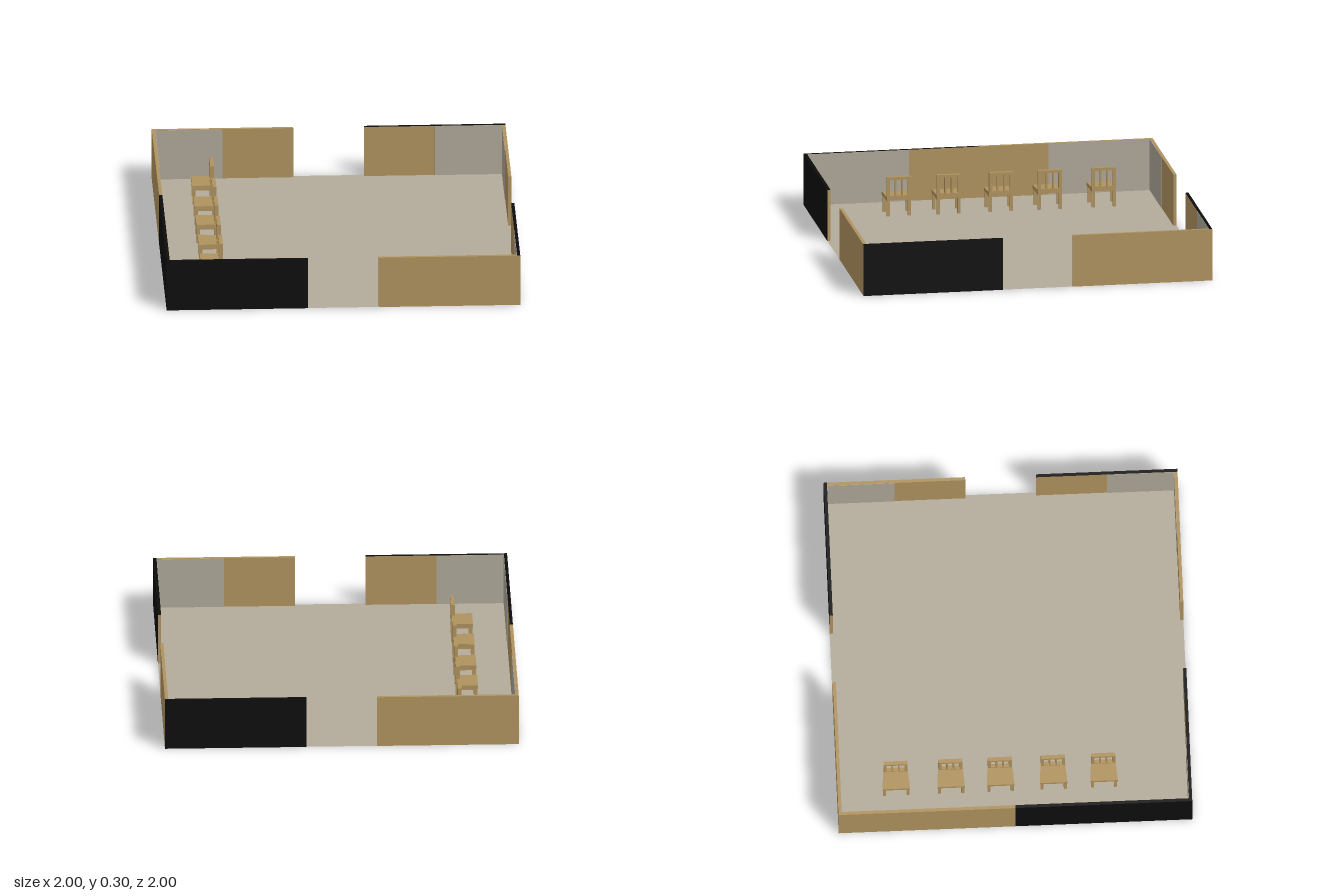
import * as THREE from 'three';

const mat = (name, color) => {
  const m = new THREE.MeshStandardMaterial({ color });
  m.name = name;
  return m;
};

const H = 0.3;   // wall height
const T = 0.018; // wall thickness

export function createModel() {
  const wood = mat('wood', 0xb0935f);
  const black = mat('black', 0x0d0d0d);
  const plaster = mat('plaster grey', 0xaea898);
  const stone = mat('floor grey', 0xb3aa9a);
  stone.side = THREE.DoubleSide;

  const model = new THREE.Group();
  model.name = 'room';
  const add = (parent, name, geo, material, x = 0, y = 0, z = 0) => {
    const mesh = new THREE.Mesh(geo, material);
    mesh.name = name;
    mesh.position.set(x, y, z);
    parent.add(mesh);
    return mesh;
  };
  const box = (w, h, d) => new THREE.BoxGeometry(w, h, d);

  // Floor: a single thin sheet
  add(model, 'floor', new THREE.PlaneGeometry(2, 2).rotateX(-Math.PI / 2), stone, 0, 0.001, 0);

  // Walls: each side is built facing +z and turned into place.
  // Segments meet the next side at the corner like a pinwheel.
  const sides = [
    { name: 'frontWall', turn: 0, gap: 0.2, lining: 0.6, dark: -1, end: black },
    { name: 'leftWall', turn: 1, gap: 0.2, lining: 0.6, dark: -1, end: wood },
    { name: 'backWall', turn: 2, gap: 0.2, lining: 0.6, dark: -1, end: wood },
    { name: 'rightWall', turn: 3, gap: 0, lining: 0.4, dark: 1, end: wood },
  ];
  for (const s of sides) {
    const side = new THREE.Group();
    side.name = s.name;
    side.rotation.y = s.turn * Math.PI / 2;
    for (const dir of [-1, 1]) {
      const a = dir < 0 ? -1 : s.gap;
      const b = dir < 0 ? -s.gap : 1 - T;
      const skin = dir === s.dark ? black : wood;
      // face order: +x, -x, top, bottom, outside, inside
      const faces = [wood, dir < 0 ? s.end : wood, skin, wood, skin, wood];
      add(side, 'wallSegment', box(b - a, H, T), faces, (a + b) / 2, H / 2, 1 - T / 2);
      // Grey lining on the inside next to the corner
      const len = 1 - T - s.lining;
      add(side, 'cornerLining', box(len, H - 0.002, 0.002), plaster,
        dir * (s.lining + len / 2), H / 2, 1 - T - 0.001);
    }
    model.add(side);
  }

  // Chair parts, shared by every chair; the chair faces -x
  const seatShape = new THREE.Shape([
    [-0.062, -0.078], [0.062, -0.069], [0.062, 0.069], [-0.062, 0.078],
  ].map(([x, y]) => new THREE.Vector2(x, y)));
  const seatGeo = new THREE.ExtrudeGeometry(seatShape, { depth: 0.02, bevelEnabled: false })
    .rotateX(-Math.PI / 2);

  const rect = (Type, x0, y0, x1, y1) => new Type([
    [x0, y0], [x1, y0], [x1, y1], [x0, y1],
  ].map(([x, y]) => new THREE.Vector2(x, y)));
  const backShape = rect(THREE.Shape, -0.068, 0.1, 0.068, 0.23);
  for (const c of [-0.037, 0, 0.037]) {
    backShape.holes.push(rect(THREE.Path, c - 0.014, 0.122, c + 0.014, 0.214));
  }
  const backGeo = new THREE.ExtrudeGeometry(backShape, { depth: 0.022, bevelEnabled: false })
    .rotateY(Math.PI / 2);
  const legGeo = box(0.018, 0.096, 0.017);

  const makeChair = () => {
    const chair = new THREE.Group();
    chair.name = 'chair';
    add(chair, 'seat', seatGeo, wood, 0, 0.095, 0);
    add(chair, 'backrest', backGeo, wood, 0.041, 0, 0);
    for (const s of [-1, 1]) {
      add(chair, 'frontLeg', legGeo, wood, -0.051, 0.048, s * 0.066);
      add(chair, 'backLeg', legGeo, wood, 0.053, 0.048, s * 0.06);
      add(chair, 'sideRail', box(0.09, 0.012, 0.01), wood, 0, 0.089, s * 0.062);
    }
    return chair;
  };

  // Row of five chairs along the right wall
  for (const z of [-0.665, -0.355, -0.075, 0.225, 0.51]) {
    const chair = makeChair();
    chair.position.set(-0.727, 0, z);
    model.add(chair);
  }
  return model;
}
